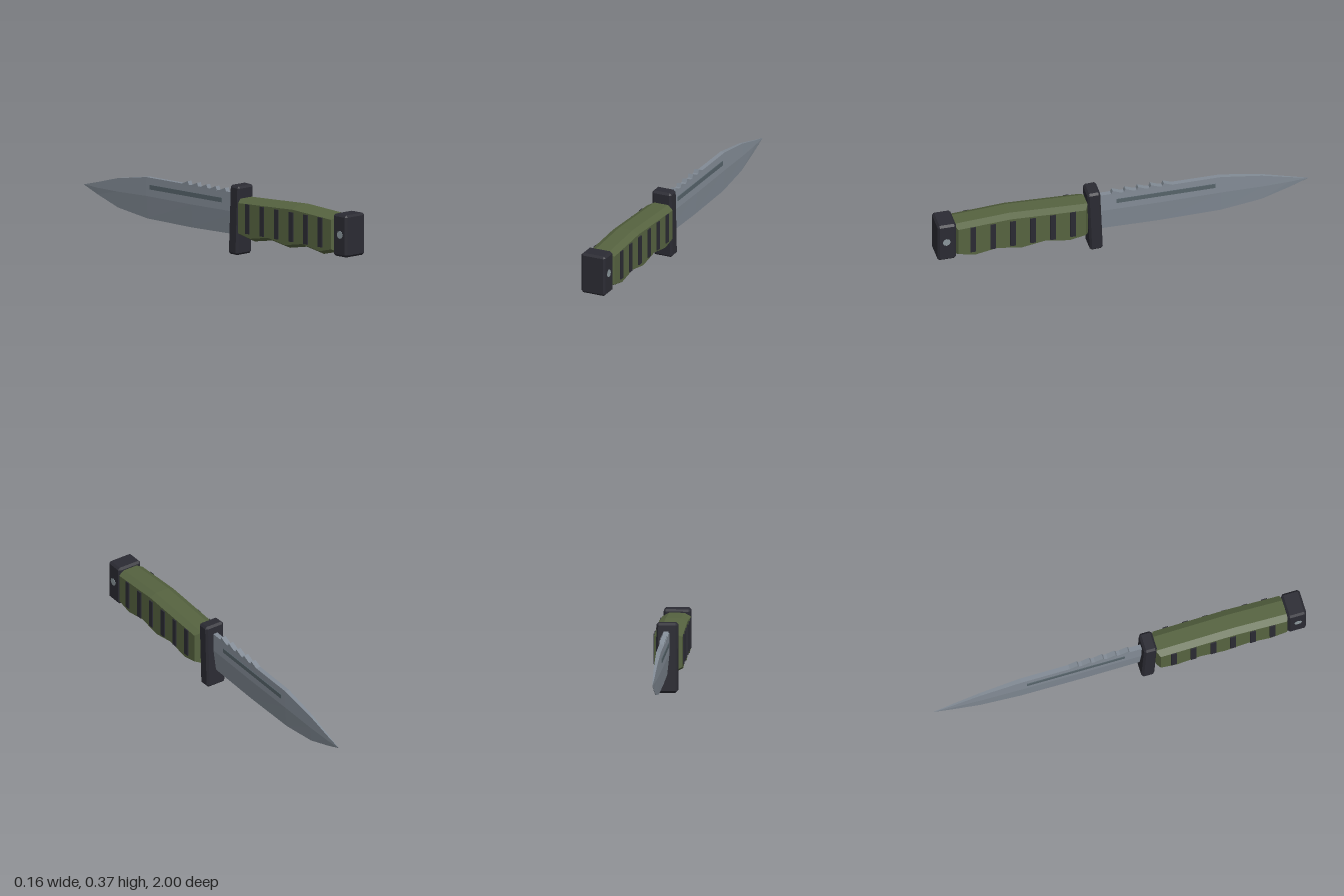
import * as THREE from 'three';
import { ConvexGeometry } from 'three/addons/geometries/ConvexGeometry.js';

const material = (name, color) => {
  const m = new THREE.MeshStandardMaterial({ color });
  m.name = name;
  return m;
};

// Box with every edge chamfered by c
function chamferBox(w, h, d, c) {
  const points = [];
  const half = [w / 2, h / 2, d / 2];
  for (let axis = 0; axis < 3; axis++)
    for (const sx of [-1, 1]) for (const sy of [-1, 1]) for (const sz of [-1, 1]) {
      const p = half.map((v, i) => (i === axis ? v : v - c));
      points.push(new THREE.Vector3(p[0] * sx, p[1] * sy, p[2] * sz));
    }
  return new ConvexGeometry(points);
}

// Side profile of [z, y] points, extruded across x and centred on x = 0
function sideExtrude(profile, width, bevelDepth = 0, bevelSize = 0) {
  const shape = new THREE.Shape(profile.map(([z, y]) => new THREE.Vector2(z, y)));
  const depth = width - 2 * bevelDepth;
  const geometry = new THREE.ExtrudeGeometry(shape, {
    depth, bevelEnabled: bevelDepth > 0, bevelThickness: bevelDepth,
    bevelSize, bevelOffset: -bevelSize, bevelSegments: 1,
  });
  return geometry.translate(0, 0, -depth / 2).rotateY(-Math.PI / 2);
}

// Blade lofted through six-sided cross-sections: [z, spine y, edge y, half thickness]
function bladeGeometry() {
  const stations = [
    [0.15, 0.32, 0.1, 0.015], [-0.2, 0.32, 0.095, 0.015], [-0.53, 0.32, 0.1, 0.014],
    [-0.75, 0.285, 0.13, 0.009], [-0.9, 0.245, 0.18, 0.005], [-1, 0.22, 0.218, 0.0005],
  ];
  const rings = stations.map(([z, top, bottom, t]) => {
    const mid = bottom + (top - bottom) * 0.55;
    return [
      [t * 0.87, top, z], [-t * 0.87, top, z], [-t, mid, z],
      [-t * 0.15, bottom, z], [t * 0.15, bottom, z], [t, mid, z],
    ];
  });
  const positions = [];
  for (let s = 0; s < rings.length - 1; s++)
    for (let i = 0; i < 6; i++) {
      const j = (i + 1) % 6, a = rings[s], b = rings[s + 1];
      positions.push(...a[i], ...b[i], ...b[j], ...a[i], ...b[j], ...a[j]);
    }
  const geometry = new THREE.BufferGeometry();
  geometry.setAttribute('position', new THREE.Float32BufferAttribute(positions, 3));
  geometry.computeVertexNormals();
  return geometry;
}

export function createModel() {
  const model = new THREE.Group();
  model.name = 'knife';

  const steel = material('steel', 0x828b95);
  const grooveGrey = material('groove grey', 0x56636a);
  const olive = material('olive grip', 0x566340);
  const black = material('black polymer', 0x2b2b33);
  const rivetGrey = material('rivet grey', 0x8b979c);

  const add = (name, geometry, mat, x = 0, y = 0, z = 0) => {
    const mesh = new THREE.Mesh(geometry, mat);
    mesh.name = name;
    mesh.position.set(x, y, z);
    model.add(mesh);
    return mesh;
  };

  // Blade and the long groove on each side
  add('blade', bladeGeometry(), steel);
  for (const side of [-1, 1])
    add('bladeGroove', new THREE.BoxGeometry(0.008, 0.024, 0.53), grooveGrey, side * 0.0135, 0.271, -0.235);

  // Saw teeth along the spine, steep toward the grip
  const tooth = sideExtrude([[0.012, 0], [0.004, 0.019], [-0.042, 0], [-0.042, -0.006], [0.012, -0.006]], 0.027);
  for (let i = 0; i < 5; i++) add('sawTooth', tooth, steel, 0, 0.319, 0.046 - i * 0.0685);

  // Guard, leaning slightly toward the grip at the top
  const guard = add('guard', chamferBox(0.112, 0.365, 0.07, 0.011), black, 0, 0.186, 0.153);
  guard.rotation.x = 0.04;

  // Grip with finger scallops underneath
  const gripProfile = [
    [0.19, 0.112], [0.295, 0.09], [0.425, 0.112], [0.555, 0.09], [0.68, 0.112], [0.805, 0.09],
    [0.91, 0.115], [0.91, 0.302], [0.61, 0.32], [0.19, 0.303],
  ];
  add('grip', sideExtrude(gripProfile, 0.148, 0.035, 0.018), olive);

  // Raised bands on both sides of the grip
  for (let i = 0; i < 6; i++)
    for (const side of [-1, 1])
      add('gripBand', new THREE.BoxGeometry(0.012, 0.156, 0.03), black, side * 0.074, 0.21, 0.278 + i * 0.107);

  // Pommel and its rivets
  add('pommel', chamferBox(0.14, 0.222, 0.1, 0.011), black, 0, 0.208, 0.95);
  const rivet = new THREE.CylinderGeometry(0.021, 0.021, 0.008, 8).rotateZ(Math.PI / 2);
  for (const side of [-1, 1]) add('rivet', rivet, rivetGrey, side * 0.068, 0.213, 0.953);

  return model;
}
